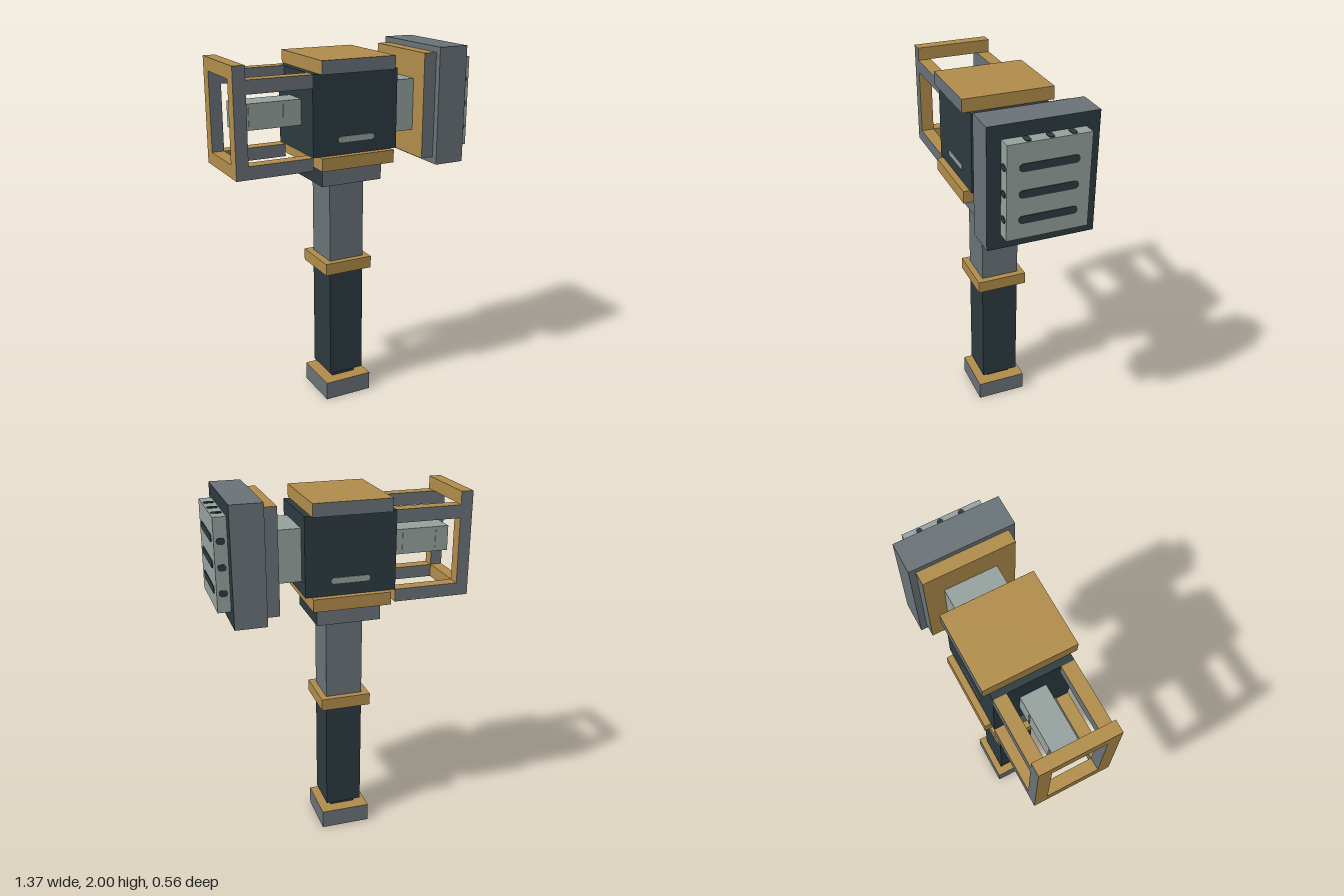
import * as THREE from 'three';

const material = (name, color) => {
  const m = new THREE.MeshStandardMaterial({ color });
  m.name = name;
  return m;
};

export function createModel() {
  const dark = material('dark slate', 0x2d3a40);
  const grey = material('steel grey', 0x697277);
  const gold = material('brass', 0xb08c4a);
  const light = material('pale steel', 0x95a19e);

  const root = new THREE.Group();
  root.name = 'hammer';

  // Box from its limits; a material list goes +x, -x, +y, -y, +z, -z
  const box = (name, [x0, x1], [y0, y1], [z0, z1], mat) => {
    const mesh = new THREE.Mesh(new THREE.BoxGeometry(x1 - x0, y1 - y0, z1 - z0), mat);
    mesh.position.set((x0 + x1) / 2, (y0 + y1) / 2, (z0 + z1) / 2);
    mesh.name = name;
    root.add(mesh);
    return mesh;
  };

  // Thin round-ended plate, lying along x and facing +z before it is turned
  const pill = (name, length, width, mat, position, rotation = [0, 0, 0]) => {
    const r = width / 2, h = length / 2 - r;
    const shape = new THREE.Shape();
    shape.moveTo(-h, -r);
    shape.lineTo(h, -r);
    shape.absarc(h, 0, r, -Math.PI / 2, Math.PI / 2, false);
    shape.lineTo(-h, r);
    shape.absarc(-h, 0, r, Math.PI / 2, Math.PI * 1.5, false);
    const geo = new THREE.ExtrudeGeometry(shape, { depth: 0.004, bevelEnabled: false, curveSegments: 6 });
    const mesh = new THREE.Mesh(geo, mat);
    mesh.position.set(...position);
    mesh.rotation.set(...rotation);
    mesh.name = name;
    root.add(mesh);
  };

  // Shaft
  const wideX = [-0.16, 0.12], gripX = [-0.12, 0.085];
  box('pommel', wideX, [0, 0.105], [-0.14, 0.14], [grey, grey, gold, dark, grey, grey]);
  box('pommelNeck', [-0.09, 0.05], [0.105, 0.14], [-0.07, 0.07], dark);
  box('grip', gripX, [0.14, 0.778], [-0.105, 0.105], dark);
  box('gripRing', wideX, [0.778, 0.845], [-0.14, 0.14], gold);
  box('upperShaft', gripX, [0.845, 1.302], [-0.105, 0.105], grey);
  box('collar', [-0.197, 0.155], [1.302, 1.406], [-0.175, 0.175], [dark, dark, dark, dark, grey, grey]);

  // Head block between two plates
  const plateX = [-0.23, 0.192], plateZ = [-0.245, 0.245];
  box('lowerPlate', plateX, [1.406, 1.475], plateZ, gold);
  box('headBlock', [-0.265, 0.225], [1.475, 1.9], [-0.21, 0.21], dark);
  box('upperPlate', plateX, [1.9, 1.97], plateZ, [gold, gold, gold, grey, grey, grey]);
  for (const s of [1, -1]) {
    pill('blockSlot', 0.21, 0.03, light, [-0.018, 1.555, s * 0.21], [0, s > 0 ? 0 : Math.PI, 0]);
  }

  // Open cage on the tail side
  const frameMats = [gold, gold, gold, gold, grey, grey];
  const railMats = [gold, gold, gold, dark, grey, grey];
  for (const s of [1, -1]) {
    const side = s > 0 ? [0.14, 0.21] : [-0.21, -0.14];
    box('cagePost', [-0.684, -0.618], [1.406, 1.97], side, frameMats);
    box('upperRail', [-0.618, -0.265], [1.83, 1.9], side, railMats);
    box('lowerRail', [-0.618, -0.265], [1.406, 1.475], side, railMats);
  }
  for (const y of [1.406, 1.9]) {
    box('cageBar', [-0.684, -0.618], [y, y + 0.07], [-0.14, 0.14], frameMats);
  }
  box('tailRod', [-0.618, -0.265], [1.62, 1.756], [-0.07, 0.07], light);
  for (const x of [-0.55, -0.36]) {
    for (const s of [1, -1]) {
      pill('rodRib', 0.1, 0.012, light, [x, 1.688, s * 0.07 - (s < 0 ? 0.004 : 0)], [0, 0, Math.PI / 2]);
    }
  }

  // Striking side
  box('strikerNeck', [0.225, 0.368], [1.545, 1.825], [-0.143, 0.143], light);
  box('backingPlate', [0.368, 0.44], [1.406, 1.97], plateZ, [gold, gold, gold, gold, grey, grey]);
  box('strikerBody', [0.44, 0.61], [1.37, 2], [-0.28, 0.28], [dark, grey, grey, dark, grey, grey]);
  box('strikerFace', [0.61, 0.678], [1.445, 1.93], [-0.21, 0.21], light);

  // Slots on the face, short vents around its edge
  for (const y of [1.545, 1.677, 1.81]) {
    pill('faceSlot', 0.3, 0.04, dark, [0.678, y, 0], [0, Math.PI / 2, 0]);
    for (const s of [1, -1]) {
      pill('sideVent', 0.045, 0.034, dark, [0.644, y, s * 0.21], [0, s > 0 ? 0 : Math.PI, 0]);
    }
  }
  for (const z of [-0.125, -0.013, 0.1]) {
    for (const [y, turn] of [[1.93, -1], [1.445, 1]]) {
      pill('edgeVent', 0.055, 0.03, dark, [0.644, y, z], [turn * Math.PI / 2, 0, 0]);
    }
  }
  return root;
}
